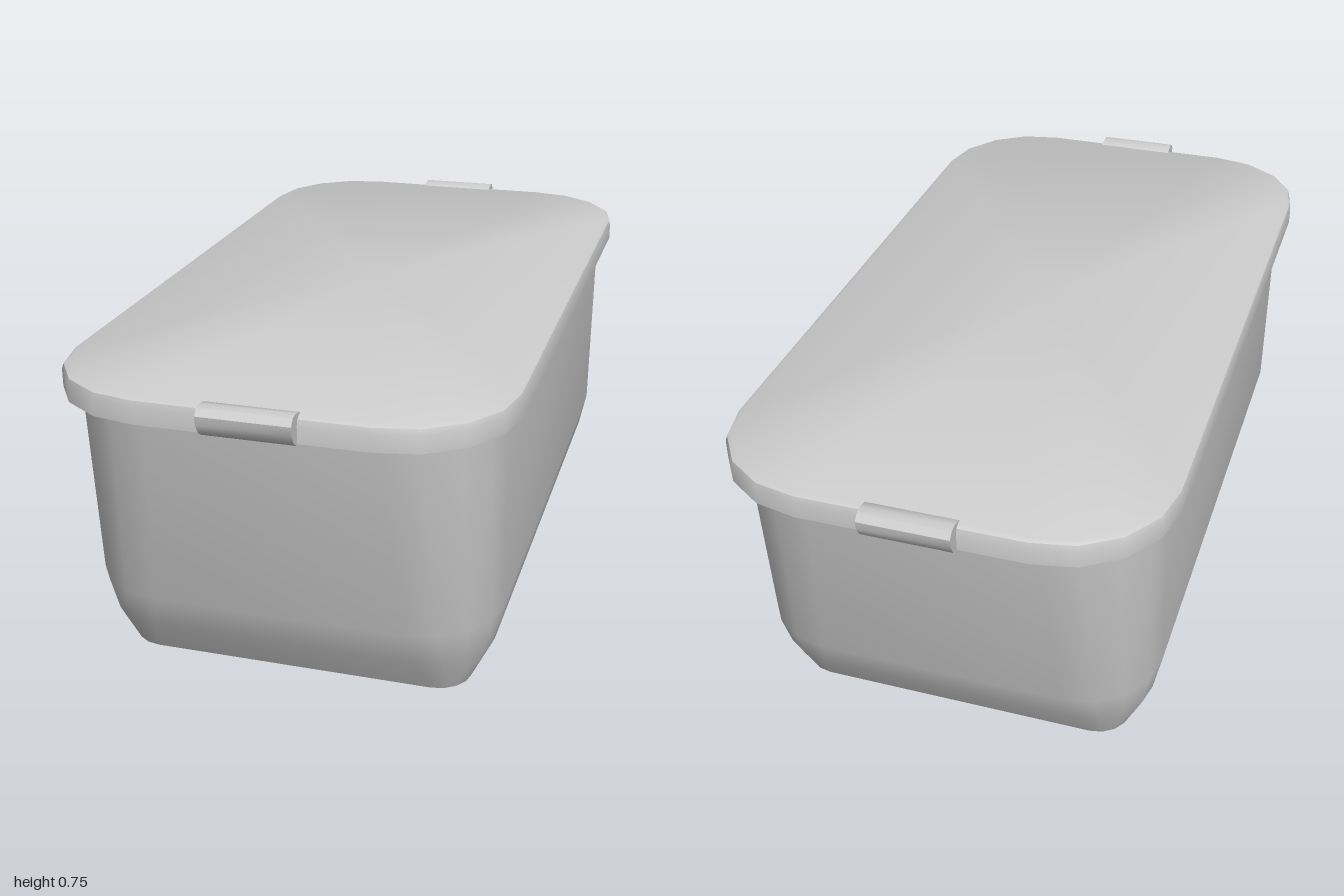
import * as THREE from 'three';
import { toCreasedNormals } from 'three/addons/utils/BufferGeometryUtils.js';

const material = new THREE.MeshStandardMaterial({ color: 0xcccccc, side: THREE.DoubleSide });
const CORNER_STEPS = 4;

// Rounded rectangle loop of half sizes hx, hz and corner radius r, turning from +x to +z
function roundedLoop(hx, hz, r) {
  const points = [];
  const corners = [[1, 1], [-1, 1], [-1, -1], [1, -1]];
  corners.forEach(([sx, sz], q) => {
    for (let i = 0; i <= CORNER_STEPS; i++) {
      const a = (q + i / CORNER_STEPS) * Math.PI / 2;
      points.push([sx * (hx - r) + r * Math.cos(a), sz * (hz - r) + r * Math.sin(a)]);
    }
  });
  return points;
}

// Skin over sections [y, halfX, halfZ, radius] listed bottom to top
function loft(sections, capped) {
  const positions = [], index = [];
  const n = 4 * (CORNER_STEPS + 1);
  for (const [y, hx, hz, r] of sections) {
    for (const [x, z] of roundedLoop(hx, hz, r)) positions.push(x, y, z);
  }
  for (let s = 0; s < sections.length - 1; s++) {
    for (let i = 0; i < n; i++) {
      const j = (i + 1) % n, a = s * n, b = a + n;
      index.push(a + i, b + i, a + j, a + j, b + i, b + j);
    }
  }
  if (capped) {
    const last = sections.length - 1, top = last * n, c = sections.length * n;
    positions.push(0, sections[0][0], 0, 0, sections[last][0], 0);
    for (let i = 0; i < n; i++) {
      const j = (i + 1) % n;
      index.push(c, i, j, c + 1, top + j, top + i);
    }
  }
  const geometry = new THREE.BufferGeometry();
  geometry.setAttribute('position', new THREE.Float32BufferAttribute(positions, 3));
  geometry.setIndex(index);
  return toCreasedNormals(geometry, 0.7);
}

function addMesh(parent, name, geometry) {
  const mesh = new THREE.Mesh(geometry, material);
  mesh.name = name;
  parent.add(mesh);
  return mesh;
}

export function createModel() {
  const group = new THREE.Group();
  group.name = 'lunchBox';

  // Tapered tub, open at the bottom, with a chamfered foot
  addMesh(group, 'tub', loft([
    [0, 0.418, 0.745, 0.08],
    [0.1, 0.468, 0.805, 0.15],
    [0.19, 0.487, 0.845, 0.19],
    [0.69, 0.487, 0.92, 0.23],
  ], false));

  // Overhanging lid with a softened top edge
  addMesh(group, 'lid', loft([
    [0.682, 0.52, 0.965, 0.26],
    [0.722, 0.52, 0.965, 0.26],
    [0.735, 0.516, 0.961, 0.257],
    [0.741, 0.506, 0.951, 0.25],
  ], true));

  // Hooked clip on each short end: profile in (z, y), extruded along x
  const profile = new THREE.Shape([
    [0.935, 0.735], [0.945, 0.745], [0.97, 0.751], [0.988, 0.748], [1.0, 0.733],
    [0.997, 0.712], [0.985, 0.69], [0.968, 0.679], [0.95, 0.685],
  ].map(([z, y]) => new THREE.Vector2(z, y)));
  const width = 0.208;
  const clip = new THREE.ExtrudeGeometry(profile, { depth: width, bevelEnabled: false });
  clip.translate(0, 0, -width / 2).rotateY(-Math.PI / 2);
  const clipGeometry = toCreasedNormals(clip, 0.7);
  addMesh(group, 'frontClip', clipGeometry);
  addMesh(group, 'backClip', clipGeometry).rotation.y = Math.PI;

  return group;
}
